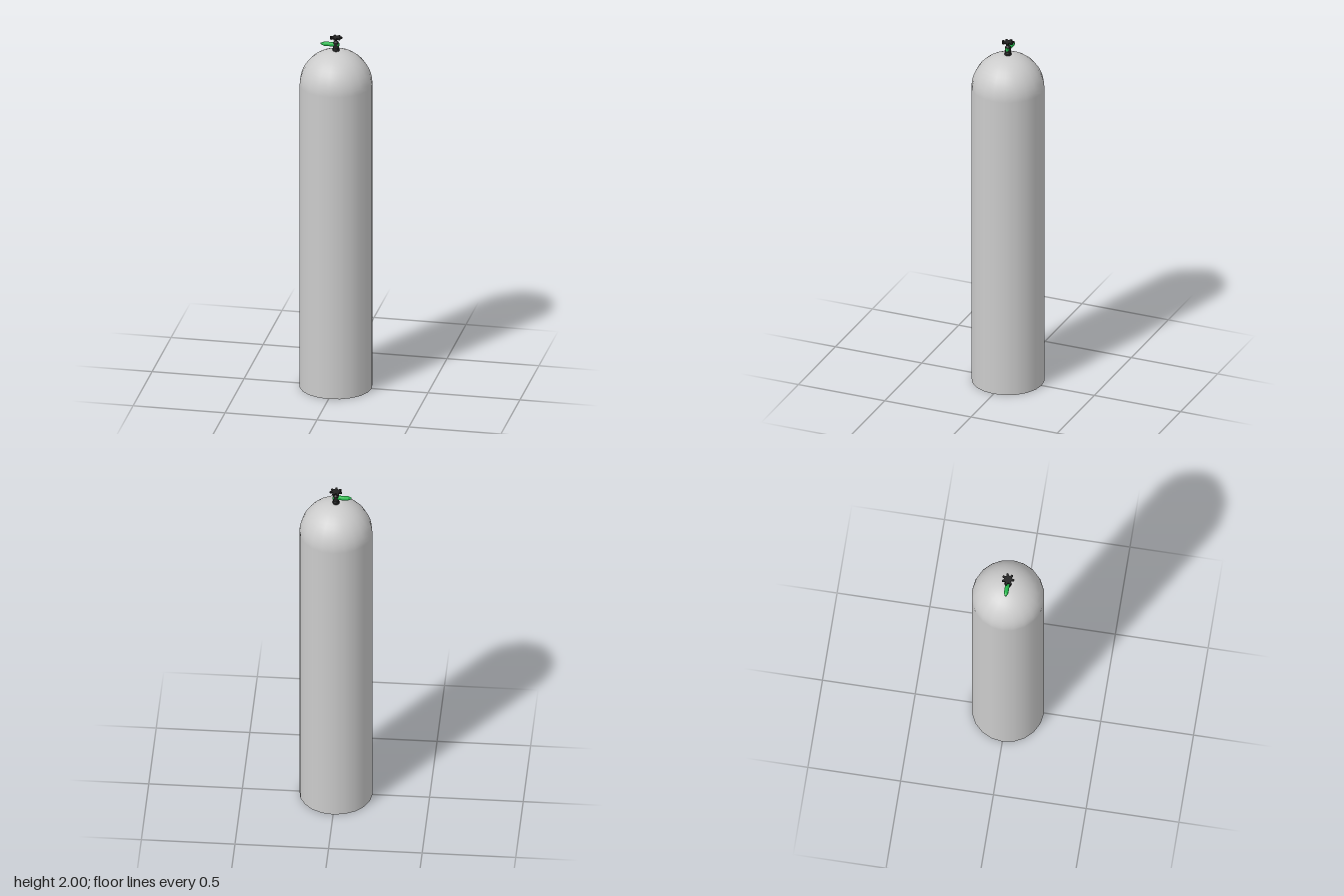
import * as THREE from 'three';

const material = (color) => new THREE.MeshStandardMaterial({ color });

export function createModel() {
  const group = new THREE.Group();
  const grey = material(0xcccccc), black = material(0x222222), green = material(0x22b84a);
  const add = (name, geometry, mat, y = 0) => {
    const mesh = new THREE.Mesh(geometry, mat);
    mesh.name = name;
    mesh.position.y = y;
    group.add(mesh);
    return mesh;
  };
  const R = 0.195, shoulder = 1.73, sides = 20;

  // Straight tank wall with flat underside
  add('tankWall', new THREE.CylinderGeometry(R, R, shoulder, sides, 1, true), grey, shoulder / 2);
  const base = add('tankBase', new THREE.CircleGeometry(R, sides), grey);
  base.rotation.x = Math.PI / 2;

  // Rounded shoulder, stopping at a small flat neck seat
  const seatAngle = Math.asin(0.033 / R);
  const seatY = shoulder + R * Math.cos(seatAngle);
  add('tankDome', new THREE.SphereGeometry(R, sides, 10, 0, Math.PI * 2, seatAngle, Math.PI / 2 - seatAngle), grey, shoulder);
  const seat = add('neckSeat', new THREE.CircleGeometry(0.033, sides), grey, seatY);
  seat.rotation.x = -Math.PI / 2;

  // Valve body: foot, barrel, and thin spindle
  const valveProfile = [[0.018, 0], [0.018, 0.012], [0.015, 0.016], [0.015, 0.047], [0.009, 0.055], [0.006, 0.057], [0.006, 0.072]]
    .map(([r, y]) => new THREE.Vector2(r, y));
  const valveMat = material(0x222222);
  valveMat.flatShading = true;
  add('valveBody', new THREE.LatheGeometry(valveProfile, 12), valveMat, seatY);

  // Seven-lobed handwheel, one lobe pointing to the front
  const wheel = new THREE.Shape();
  const lobes = 7;
  for (let i = 0; i < lobes; i++) {
    const a = (i / lobes) * Math.PI * 2 - Math.PI / 2;
    for (const [offset, r] of [[-0.3, 0.021], [-0.17, 0.033], [0, 0.034], [0.17, 0.033], [0.3, 0.021]]) {
      const x = r * Math.cos(a + offset), y = r * Math.sin(a + offset);
      if (i === 0 && offset === -0.3) wheel.moveTo(x, y);
      else wheel.lineTo(x, y);
    }
  }
  wheel.closePath();
  const handwheel = add('handwheel', new THREE.ExtrudeGeometry(wheel, { depth: 0.008, bevelEnabled: false }), black, 1.992);
  handwheel.rotation.x = -Math.PI / 2;

  // Side outlet with tapered tip, pointing to the model's right
  const outletProfile = [[0, -0.017], [0.009, -0.017], [0.012, -0.012], [0.012, 0.064], [0.004, 0.083], [0, 0.083]]
    .map(([r, y]) => new THREE.Vector2(r, y));
  const outletMat = green;
  outletMat.flatShading = true;
  const outlet = add('outletNozzle', new THREE.LatheGeometry(outletProfile, 12), outletMat, 1.957);
  outlet.rotation.z = Math.PI / 2;

  return group;
}
